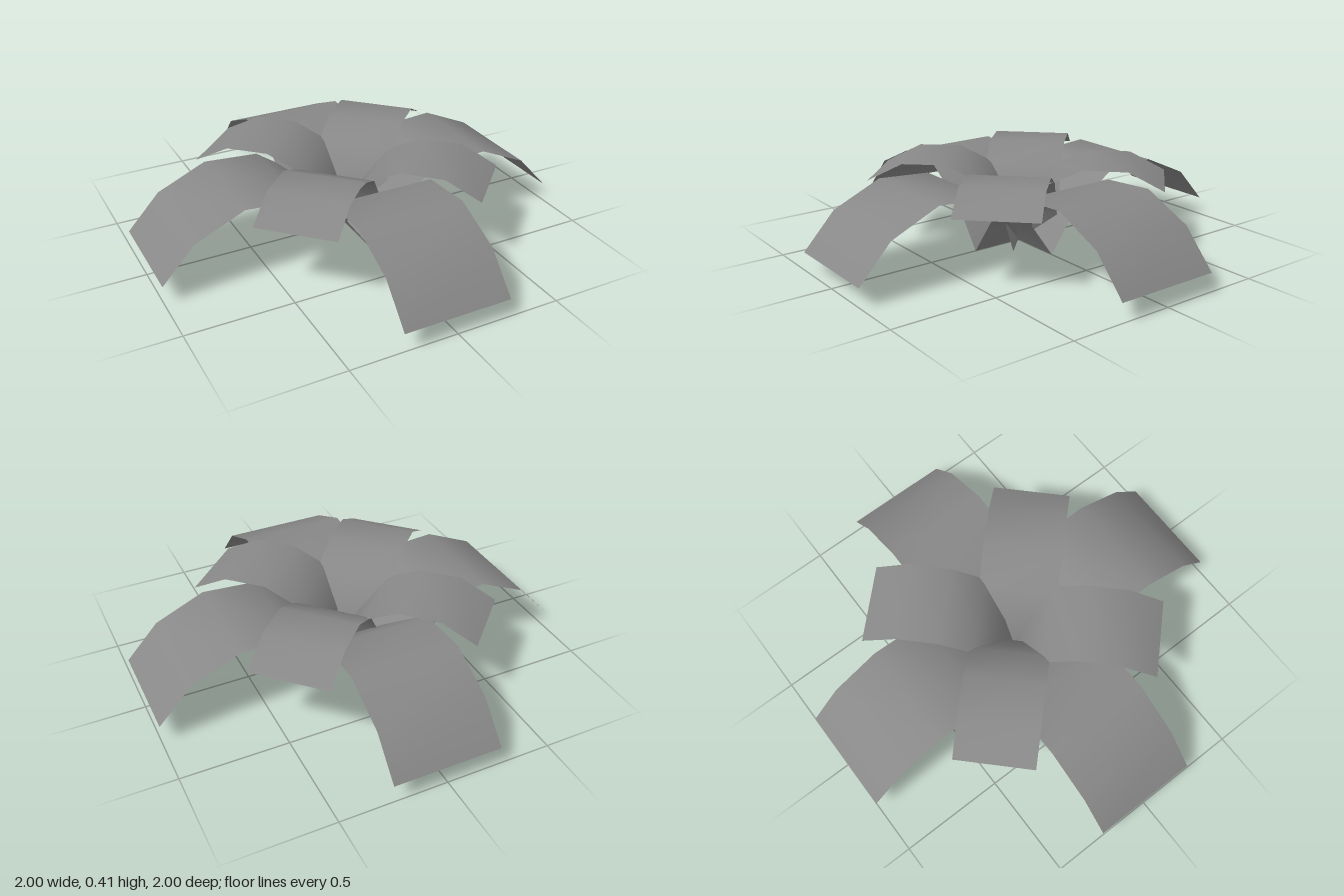
import * as THREE from 'three';

// Side profiles of the fronds as [distance from centre, height]
const LONG = [[0, 0], [0.14, 0.195], [0.35, 0.342], [0.61, 0.36], [0.845, 0.255], [1, 0.088]];
const SHORT = [[0, 0.01], [0.05, 0.2], [0.16, 0.342], [0.32, 0.415], [0.52, 0.413], [0.687, 0.328]];

// Bend a flat strip along a profile, growing outward towards +z
function frondGeometry(profile, width) {
  const geo = new THREE.PlaneGeometry(width, 1, 1, profile.length - 1);
  const pos = geo.attributes.position;
  for (let i = 0; i < pos.count; i++) {
    const [r, y] = profile[Math.floor(i / 2)];
    pos.setXYZ(i, pos.getX(i), y, r);
  }
  geo.computeVertexNormals();
  return geo;
}

export function createModel() {
  const group = new THREE.Group();
  group.name = 'leafyPlant';
  const material = new THREE.MeshStandardMaterial({ color: 0x888888, side: THREE.DoubleSide });
  const longGeo = frondGeometry(LONG, 0.51);
  const shortGeo = frondGeometry(SHORT, 0.376);

  // Long, low fronds on the axes and short, raised ones on the diagonals
  for (let i = 0; i < 8; i++) {
    const isLong = i % 2 === 0;
    const frond = new THREE.Mesh(isLong ? longGeo : shortGeo, material);
    frond.name = (isLong ? 'longFrond' : 'shortFrond') + (Math.floor(i / 2) + 1);
    frond.rotation.y = i * Math.PI / 4;
    group.add(frond);
  }
  return group;
}
